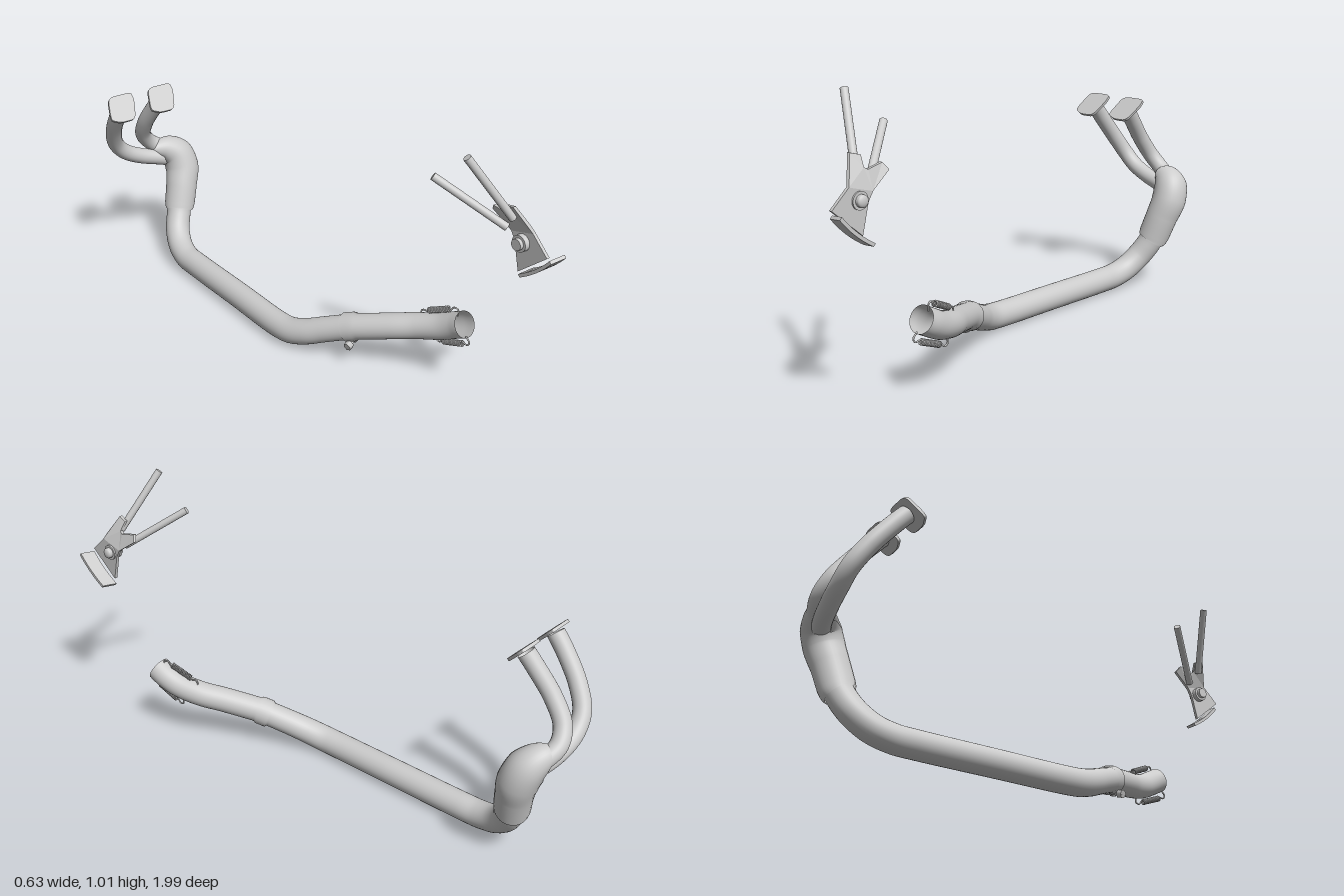
import * as THREE from 'three';

const grey = new THREE.MeshStandardMaterial({ color: 0xcccccc, side: THREE.DoubleSide });
const V = (a) => new THREE.Vector3(a[0], a[1], a[2]);

function add(parent, name, geometry) {
  const mesh = new THREE.Mesh(geometry, grey);
  mesh.name = name;
  parent.add(mesh);
  return mesh;
}

// Smooth tube through [x, y, z, radius] stations
function sweep(stations, segments = 60, sides = 32) {
  const curve = new THREE.CatmullRomCurve3(stations.map(V));
  const geo = new THREE.TubeGeometry(curve, segments, 1, sides);
  const pos = geo.attributes.position, nor = geo.attributes.normal;
  for (let i = 0; i <= segments; i++) {
    const c = curve.getPointAt(i / segments);
    const f = curve.getUtoTmapping(i / segments) * (stations.length - 1);
    const k = Math.min(Math.floor(f), stations.length - 2);
    const r = THREE.MathUtils.lerp(stations[k][3], stations[k + 1][3], f - k);
    for (let j = 0; j <= sides; j++) {
      const n = i * (sides + 1) + j;
      pos.setXYZ(n, c.x + nor.getX(n) * r, c.y + nor.getY(n) * r, c.z + nor.getZ(n) * r);
    }
  }
  return geo;
}

// Cylinder between two points
function rod(a, b, r, sides = 24) {
  const dir = V(b).sub(V(a));
  const geo = new THREE.CylinderGeometry(r, r, dir.length(), sides);
  geo.applyQuaternion(new THREE.Quaternion().setFromUnitVectors(new THREE.Vector3(0, 1, 0), dir.clone().normalize()));
  const mid = V(a).add(V(b)).multiplyScalar(0.5);
  return geo.translate(mid.x, mid.y, mid.z);
}

// Closed outline with rounded corners
function roundedShape(pts, t = 0.3) {
  const s = new THREE.Shape();
  const n = pts.length;
  const mix = (a, b, f) => [a[0] + (b[0] - a[0]) * f, a[1] + (b[1] - a[1]) * f];
  pts.forEach((p, i) => {
    const a = mix(p, pts[(i + n - 1) % n], t), b = mix(p, pts[(i + 1) % n], t);
    if (i) s.lineTo(...a); else s.moveTo(...a);
    s.quadraticCurveTo(p[0], p[1], b[0], b[1]);
  });
  s.closePath();
  return s;
}

// Coil spring with a hook at each end, pulling back to the pipe
function spring(name, a, b, towards) {
  const g = new THREE.Group();
  g.name = name;
  const A = V(a), axis = V(b).sub(A), len = axis.length();
  axis.normalize();
  const inward = V(towards).addScaledVector(axis, -V(towards).dot(axis)).normalize();
  const side = axis.clone().cross(inward);
  const at = (d, i, s = 0) => A.clone().addScaledVector(axis, d).addScaledVector(inward, i).addScaledVector(side, s);
  const coil = [];
  for (let i = 0; i <= 160; i++) {
    const w = i / 160 * Math.PI * 2 * 14;
    coil.push(at(len * (0.2 + 0.6 * i / 160), Math.cos(w) * 0.009, Math.sin(w) * 0.009));
  }
  add(g, 'springCoil', new THREE.TubeGeometry(new THREE.CatmullRomCurve3(coil), 320, 0.003, 6));
  for (const end of [0, 1]) {
    const d = (x) => (end ? len - x : x);
    const hook = [at(d(len * 0.2), 0.008), at(d(len * 0.12), 0), at(d(0.008), -0.004), at(d(-0.004), 0.006), at(d(0.006), 0.03)];
    add(g, 'springHook', new THREE.TubeGeometry(new THREE.CatmullRomCurve3(hook), 20, 0.003, 8));
  }
  return g;
}

export function createModel() {
  const model = new THREE.Group();

  // Long pipe: rises into the collector at the back, swings outward at the front
  add(model, 'mainPipe', sweep([
    [0.028, 0.215, -0.852, 0.05], [0.012, 0.175, -0.837, 0.05], [-0.015, 0.122, -0.805, 0.05],
    [-0.037, 0.077, -0.75, 0.05], [-0.049, 0.055, -0.68, 0.05], [-0.05, 0.052, -0.6, 0.05],
    [-0.05, 0.052, -0.3, 0.05], [-0.05, 0.052, -0.02, 0.05], [-0.043, 0.058, 0.045, 0.05],
    [-0.021, 0.077, 0.108, 0.049], [0.012, 0.103, 0.168, 0.048], [0.065, 0.142, 0.26, 0.047],
  ], 120));
  add(model, 'outletPipe', sweep([
    [0.053, 0.133, 0.238, 0.049], [0.056, 0.135, 0.243, 0.054], [0.074, 0.147, 0.276, 0.054],
    [0.08, 0.15, 0.286, 0.048], [0.15, 0.181, 0.395, 0.048], [0.2, 0.201, 0.47, 0.048],
    [0.236, 0.225, 0.55, 0.048], [0.252, 0.252, 0.605, 0.048], [0.256, 0.273, 0.645, 0.048],
  ], 90));

  // Clamp bolt under the joint
  const clamp = new THREE.Group();
  clamp.name = 'clampBolt';
  model.add(clamp);
  add(clamp, 'boltShank', rod([0.025, 0.083, 0.29], [0.078, 0.1, 0.275], 0.008));
  add(clamp, 'boltHead', rod([0.025, 0.083, 0.29], [0.044, 0.089, 0.285], 0.016, 6));
  add(clamp, 'boltNut', rod([0.062, 0.095, 0.28], [0.076, 0.099, 0.276], 0.014, 6));

  // Swollen collector joining the two header pipes
  add(model, 'collector', sweep([
    [0.02, 0.188, -0.845, 0.049], [0.023, 0.196, -0.848, 0.058], [0.03, 0.218, -0.853, 0.063],
    [0.053, 0.295, -0.87, 0.065], [0.071, 0.365, -0.89, 0.07], [0.06, 0.42, -0.912, 0.068],
    [0.025, 0.446, -0.932, 0.053], [-0.01, 0.45, -0.944, 0.034], [-0.03, 0.448, -0.95, 0.012],
  ], 90));

  // Header pipes
  const r = 0.032;
  add(model, 'outerHeaderPipe', sweep([
    [-0.255, 0.738, -0.788, r], [-0.252, 0.69, -0.828, r], [-0.235, 0.595, -0.9, r], [-0.205, 0.52, -0.943, r],
    [-0.16, 0.47, -0.954, r], [-0.09, 0.434, -0.952, r], [0, 0.409, -0.935, r], [0.06, 0.395, -0.91, r],
  ]));
  add(model, 'innerHeaderPipe', sweep([
    [-0.077, 0.738, -0.788, r], [-0.083, 0.69, -0.828, r], [-0.089, 0.605, -0.896, r], [-0.074, 0.53, -0.948, r],
    [-0.035, 0.48, -0.964, r], [0.015, 0.447, -0.95, r], [0.06, 0.42, -0.92, r],
  ]));

  // Tilted mounting flanges
  const flangeShape = roundedShape([
    [-0.04, 0.056], [0.062, 0.056], [0.062, 0.022], [0.034, -0.056], [-0.03, -0.056], [-0.062, -0.04], [-0.062, -0.022],
  ]);
  for (const x of [-0.255, -0.077]) {
    const geo = new THREE.ExtrudeGeometry(flangeShape, { depth: 0.011, bevelEnabled: false, curveSegments: 8 });
    const flange = add(model, 'flange', geo);
    flange.rotation.x = -0.77;
    flange.position.set(x, 0.737, -0.781);
  }

  // Retaining springs above and below the outlet
  model.add(spring('upperSpring', [0.252, 0.32, 0.605], [0.215, 0.258, 0.47], [0, -1, 0]));
  model.add(spring('lowerSpring', [0.252, 0.208, 0.675], [0.245, 0.152, 0.53], [0, 1, 0]));

  // Separate forked hanger bracket
  const bracket = new THREE.Group();
  bracket.name = 'hangerBracket';
  model.add(bracket);
  add(bracket, 'upperRod', rod([0.07, 1.003, 0.777], [0.212, 0.785, 0.856], 0.0135));
  add(bracket, 'lowerRod', rod([0.075, 0.885, 0.63], [0.228, 0.735, 0.82], 0.0135));

  // Y-shaped plate, its fork bent inward along the rods
  const plateShape = new THREE.Shape([
    [-0.98, 0.685], [-0.915, 0.745], [-0.9, 0.775], [-0.868, 0.835], [-0.832, 0.825], [-0.838, 0.79],
    [-0.825, 0.783], [-0.765, 0.795], [-0.75, 0.772], [-0.825, 0.72], [-0.843, 0.69], [-0.868, 0.59],
  ].reverse().map((p) => new THREE.Vector2(...p)));
  const plate = new THREE.ExtrudeGeometry(plateShape, { depth: 0.012, bevelEnabled: false }).rotateY(Math.PI / 2);
  const pp = plate.attributes.position;
  for (let i = 0; i < pp.count; i++) {
    pp.setX(i, pp.getX(i) + 0.244 - Math.max(0, pp.getY(i) - 0.75) * 0.6);
  }
  plate.computeVertexNormals();
  add(bracket, 'forkPlate', plate);

  // Slightly curved foot
  const foot = new THREE.BoxGeometry(0.058, 0.012, 0.158, 1, 1, 10);
  const fp = foot.attributes.position;
  for (let i = 0; i < fp.count; i++) {
    const z = fp.getZ(i);
    fp.setY(i, fp.getY(i) + z * z * 1.2 - 0.004);
    fp.setZ(i, z + fp.getX(i) * 0.2);
  }
  foot.computeVertexNormals();
  foot.rotateX(-0.7).translate(0.286, 0.619, 0.93);
  add(bracket, 'foot', foot);

  // Pivot bolt through the plate
  add(bracket, 'pivotBolt', rod([0.212, 0.7, 0.877], [0.272, 0.7, 0.877], 0.02));
  add(bracket, 'pivotHead', rod([0.225, 0.7, 0.877], [0.262, 0.7, 0.877], 0.029));
  const dome = new THREE.SphereGeometry(0.02, 20, 12);
  dome.scale(0.5, 1, 1).translate(0.272, 0.7, 0.877);
  add(bracket, 'pivotCap', dome);

  return model;
}
